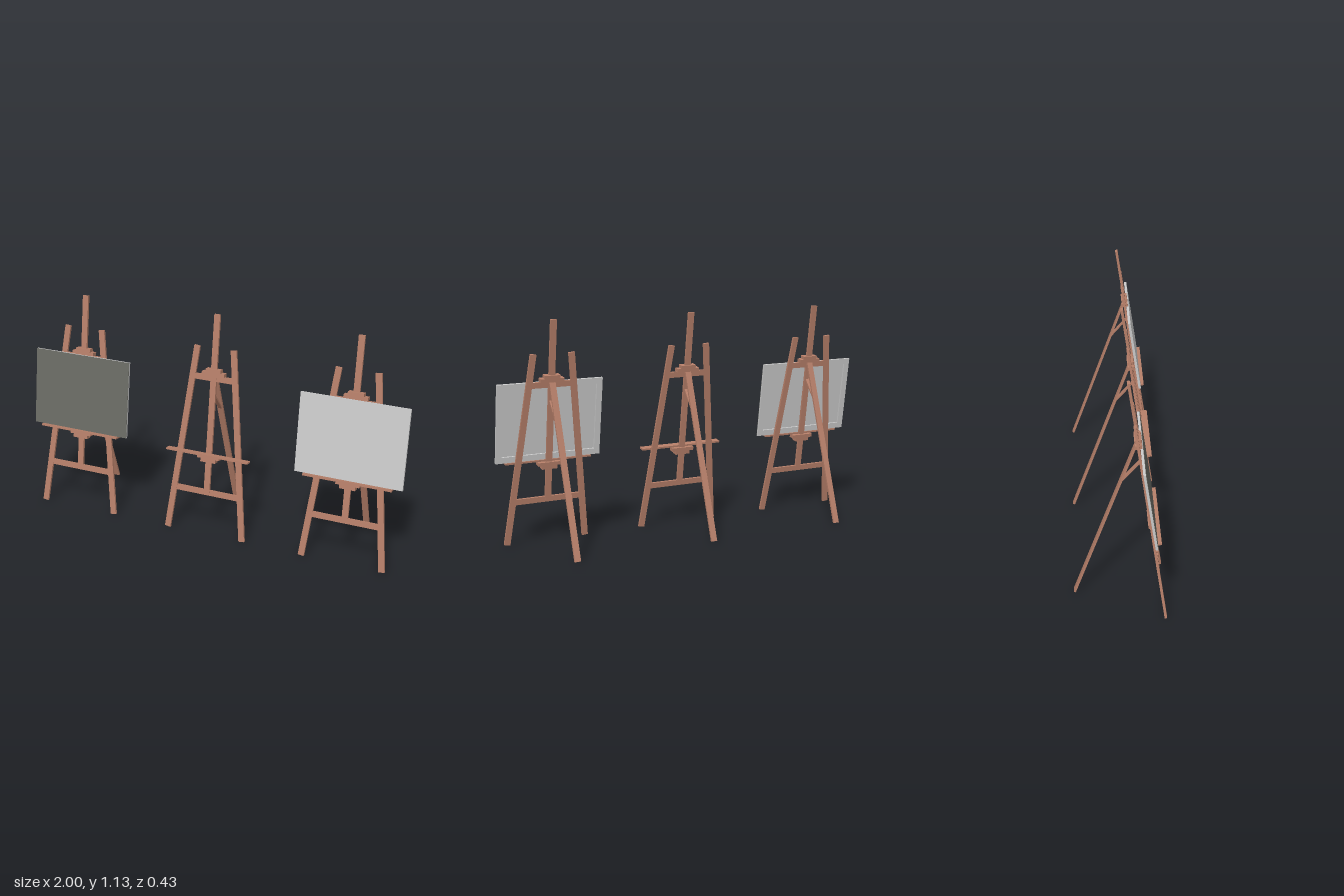
import * as THREE from 'three';

const wood = new THREE.MeshStandardMaterial({ color: 0xb67f69 });
wood.name = 'wood';
const canvasGrey = new THREE.MeshStandardMaterial({ color: 0xcacaca });
canvasGrey.name = 'canvasGrey';
const darkPaint = new THREE.MeshStandardMaterial({ color: 0x696a63 });
darkPaint.name = 'darkPaint';

const LEAN = 0.151; // backward lean of the easel front
const FOOT_Z = 0.209;

function box(parent, name, w, h, d, x, y, z, material = wood) {
  const mesh = new THREE.Mesh(new THREE.BoxGeometry(w, h, d), material);
  mesh.name = name;
  mesh.position.set(x, y, z);
  parent.add(mesh);
  return mesh;
}

// Straight bar between two points; w is its width, d its thickness
function bar(parent, name, a, b, w, d) {
  const from = new THREE.Vector3(...a);
  const dir = new THREE.Vector3(...b).sub(from);
  const mid = from.clone().addScaledVector(dir, 0.5);
  const mesh = box(parent, name, w, dir.length(), d, mid.x, mid.y, mid.z);
  mesh.quaternion.setFromUnitVectors(new THREE.Vector3(0, 1, 0), dir.normalize());
}

// Stretched canvas: hollow frame at the back, panel and painted face in front
function createCanvas(paint) {
  const canvas = new THREE.Group();
  canvas.name = 'canvas';
  const w = 0.54, h = 0.397, border = 0.03;
  const rect = (path, x, y) => path.moveTo(-x, -y).lineTo(x, -y).lineTo(x, y).lineTo(-x, y).closePath();
  const shape = rect(new THREE.Shape(), w / 2, h / 2);
  shape.holes.push(rect(new THREE.Path(), w / 2 - border, h / 2 - border));
  const frame = new THREE.Mesh(
    new THREE.ExtrudeGeometry(shape, { depth: 0.009, bevelEnabled: false }), canvasGrey);
  frame.name = 'canvasFrame';
  canvas.add(frame);
  box(canvas, 'canvasPanel', w, h, 0.002, 0, 0, 0.01, canvasGrey);
  box(canvas, 'canvasFace', w, h, 0.002, 0, 0, 0.012, paint);
  canvas.position.set(0, 0.6315, 0.007);
  return canvas;
}

function createEasel(paint) {
  const easel = new THREE.Group();
  easel.name = 'easel';

  // Leaning front frame
  const front = new THREE.Group();
  front.name = 'frontFrame';
  front.position.z = FOOT_Z;
  front.rotation.x = -LEAN;
  easel.add(front);
  for (const s of [-1, 1]) {
    bar(front, 'frontLeg', [s * 0.206, 0.003, 0], [s * 0.097, 0.972, 0], 0.031, 0.012);
  }
  box(front, 'mast', 0.031, 0.922, 0.013, 0, 0.677, 0);
  box(front, 'lowerCrossbar', 0.35, 0.029, 0.011, 0, 0.226, 0);
  box(front, 'upperCrossbar', 0.222, 0.029, 0.011, 0, 0.818, 0);

  // Stepped clamps and the ledge
  box(front, 'upperClamp', 0.12, 0.018, 0.032, 0, 0.841, 0);
  box(front, 'upperClampStep', 0.08, 0.016, 0.032, 0, 0.858, 0);
  box(front, 'lowerClamp', 0.12, 0.018, 0.032, 0, 0.4145, 0);
  box(front, 'lowerClampStep', 0.08, 0.018, 0.032, 0, 0.3965, 0);
  box(front, 'ledge', 0.445, 0.009, 0.035, 0, 0.428, 0.0195);

  // Rear leg with its brace
  bar(easel, 'rearLeg', [0, 0.003, -0.21], [0, 0.82, 0.075], 0.031, 0.01);
  bar(easel, 'brace', [0, 0.617, 0.003], [0, 0.73, 0.098], 0.02, 0.008);

  if (paint) front.add(createCanvas(paint));
  return easel;
}

export function createModel() {
  const model = new THREE.Group();
  model.name = 'easels';
  [darkPaint, null, canvasGrey].forEach((paint, i) => {
    const easel = createEasel(paint);
    easel.position.x = (i - 1) * 0.73;
    model.add(easel);
  });
  return model;
}
